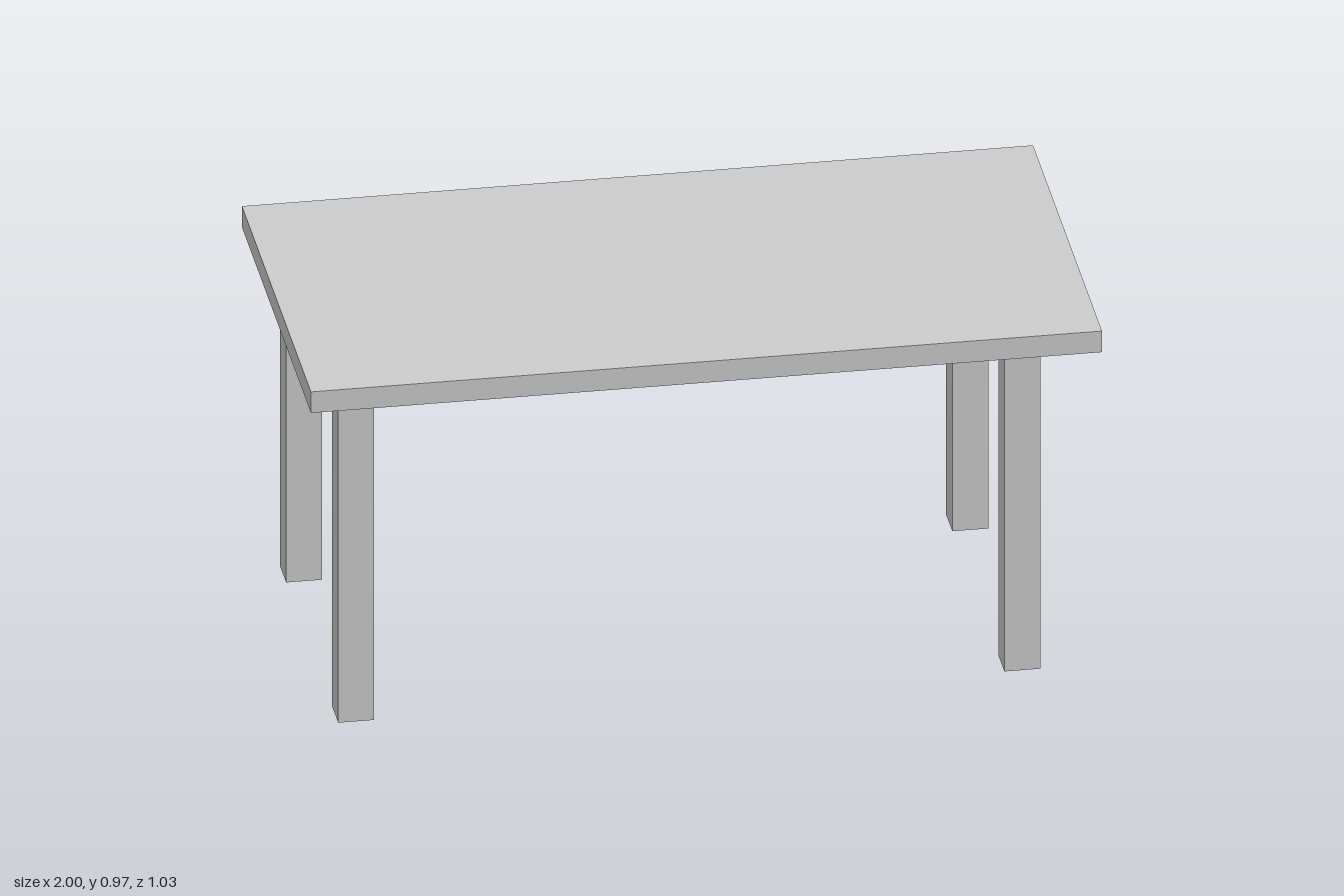
import * as THREE from 'three';

export function createModel() {
  const group = new THREE.Group();
  const material = new THREE.MeshStandardMaterial({ color: 0xcccccc });

  const addBox = (name, width, height, depth, x, bottom, z) => {
    const mesh = new THREE.Mesh(new THREE.BoxGeometry(width, height, depth), material);
    mesh.name = name;
    mesh.position.set(x, bottom + height / 2, z);
    group.add(mesh);
  };

  // Tabletop slab
  const legHeight = 0.914;
  addBox('tabletop', 2, 0.059, 1.032, 0, legHeight, 0);

  // Four square legs; the pair on the left is set further in from the edge
  const legWidth = 0.091;
  for (const [side, x] of [['Left', 0.812], ['Right', -0.872]]) {
    for (const [end, z] of [['front', 0.391], ['back', -0.388]]) {
      addBox(`${end}${side}Leg`, legWidth, legHeight, legWidth, x, 0, z);
    }
  }
  return group;
}
